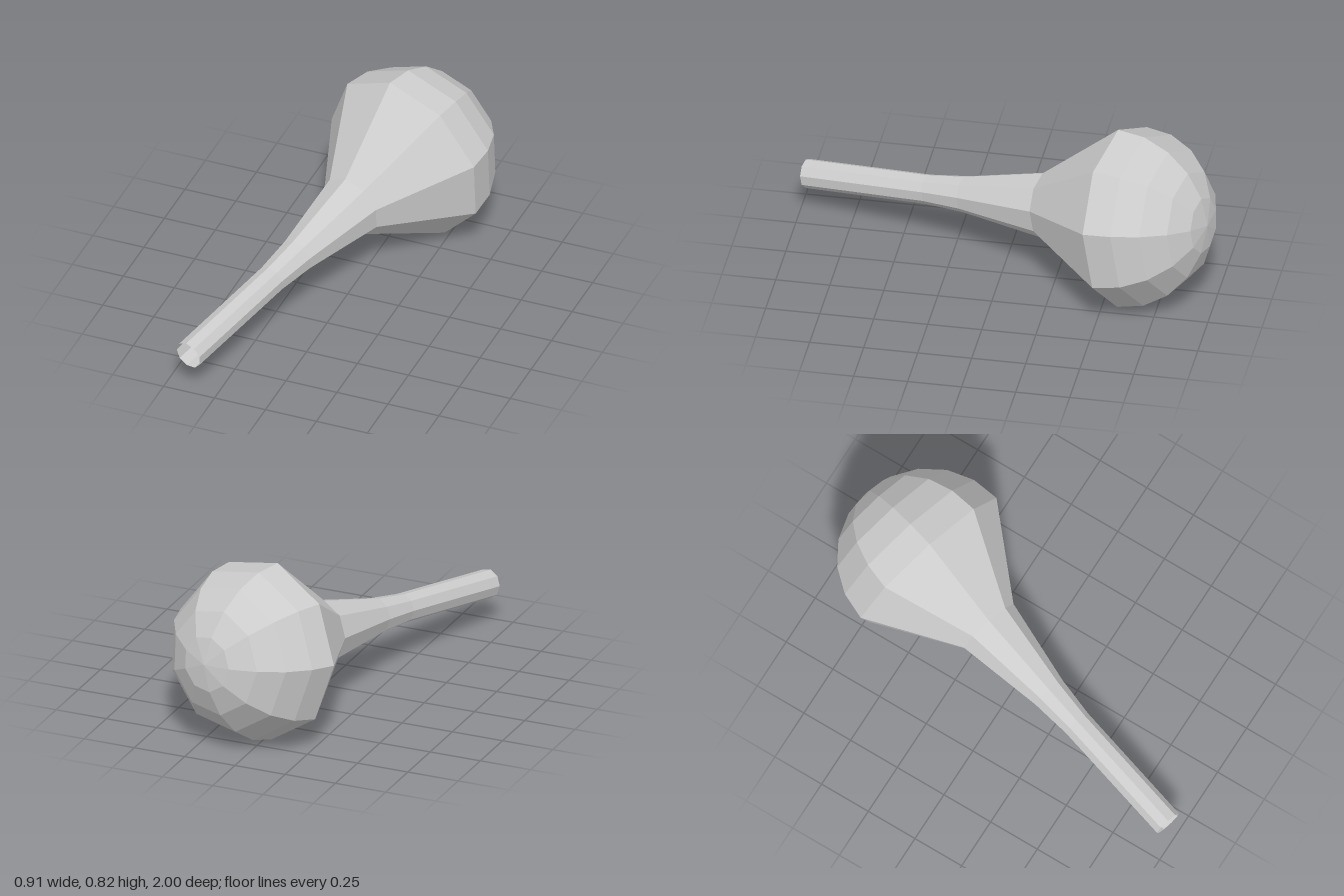
import * as THREE from 'three';

export function createModel() {
  const group = new THREE.Group();
  const material = new THREE.MeshStandardMaterial({
    color: 0xcccccc, flatShading: true, side: THREE.DoubleSide,
  });
  const sides = 9;
  const radius = 0.422;

  // Rounded bulb end: half a sphere in five bands, ending at its widest ring
  const bands = 5;
  const bulbProfile = [];
  for (let i = 0; i <= bands; i++) {
    const a = (1 - i / bands) * Math.PI / 2;
    bulbProfile.push(new THREE.Vector2(radius * Math.cos(a), -radius * Math.sin(a)));
  }

  // Flared neck running into a thin open stem
  const stemProfile = [
    [radius, 0], [0.154, 0.41], [0.085, 0.82], [0.069, 1.01], [0.068, 1.63],
  ].map(([r, y]) => new THREE.Vector2(r, y));

  const addLathe = (name, profile) => {
    const mesh = new THREE.Mesh(new THREE.LatheGeometry(profile, sides), material);
    mesh.name = name;
    body.add(mesh);
  };
  const body = new THREE.Group();
  body.name = 'dropperBody';
  addLathe('bulb', bulbProfile);
  addLathe('stem', stemProfile);

  // Lean the axis toward the front and turn one corner near the top
  const axis = new THREE.Vector3(-0.438, -0.222, 1.555).normalize();
  const corner = new THREE.Vector3(-0.06, 0.423, 0.045);
  corner.addScaledVector(axis, -corner.dot(axis)).normalize();
  const across = new THREE.Vector3().crossVectors(axis, corner);
  body.quaternion.setFromRotationMatrix(new THREE.Matrix4().makeBasis(across, axis, corner));
  body.position.set(0.05, 0.418, -0.58);
  group.add(body);
  return group;
}
